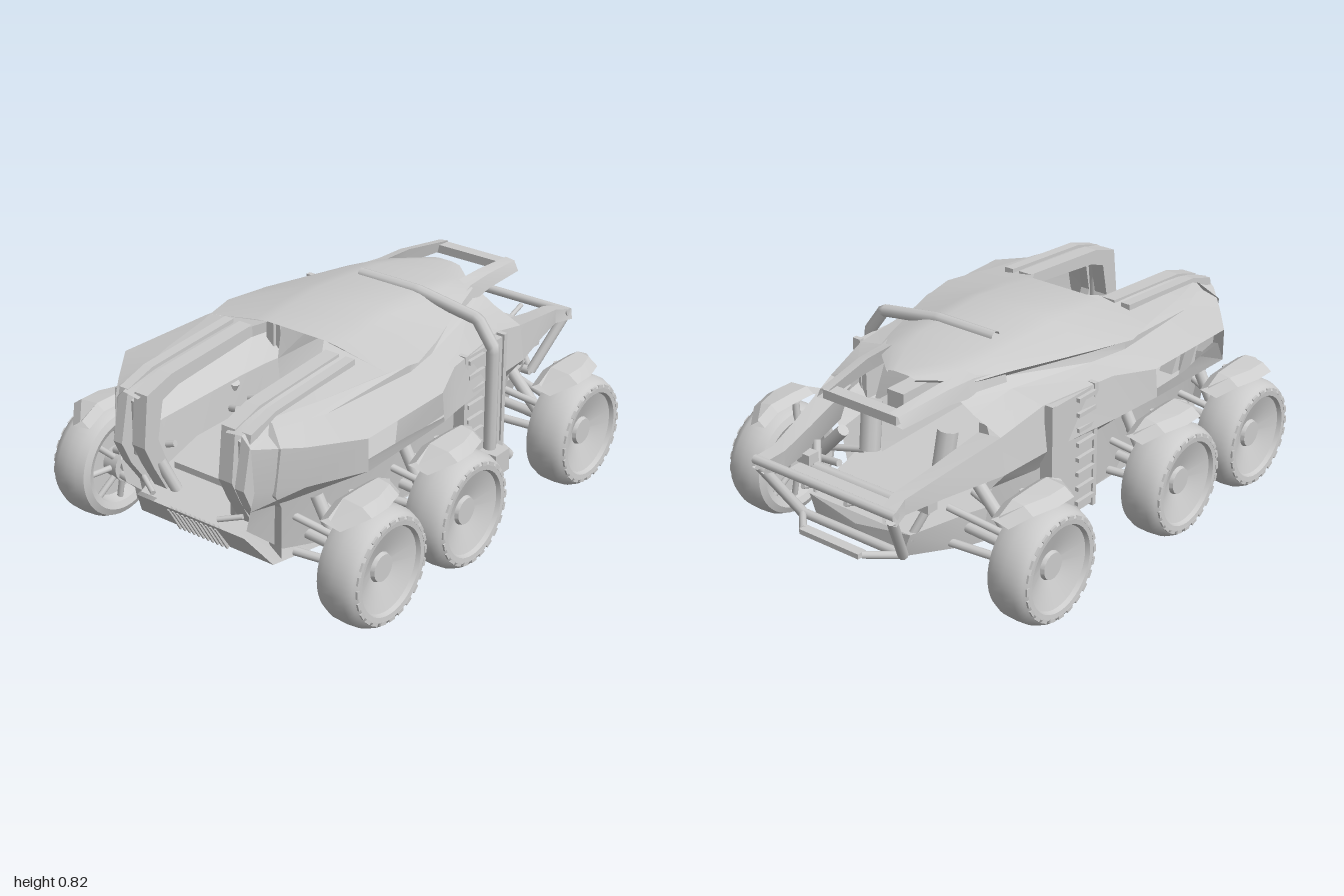
import * as THREE from 'three';
import { toCreasedNormals } from 'three/addons/utils/BufferGeometryUtils.js';

const grey = new THREE.MeshStandardMaterial({ color: 0xcccccc, side: THREE.DoubleSide });
const V = (p) => new THREE.Vector3(...p);

export function createModel() {
  const model = new THREE.Group();

  const add = (name, geo, parent = model) => {
    const mesh = new THREE.Mesh(geo, grey);
    mesh.name = name;
    parent.add(mesh);
    return mesh;
  };
  const box = (name, w, h, d, x, y, z, parent) => {
    const m = add(name, new THREE.BoxGeometry(w, h, d), parent);
    m.position.set(x, y, z);
    return m;
  };
  // Straight round bar between two points
  const bar = (name, a, b, r, parent) => {
    const A = V(a), B = V(b), d = B.clone().sub(A);
    const m = add(name, new THREE.CylinderGeometry(r, r, d.length(), 10), parent);
    m.position.copy(A).add(B).multiplyScalar(0.5);
    m.quaternion.setFromUnitVectors(new THREE.Vector3(0, 1, 0), d.normalize());
    return m;
  };
  // Surface through sections [z, [x, y], [x, y], ...]; skip(i, j) leaves a gap
  const loft = (name, sections, { side = 1, skip = () => false, closed = false } = {}) => {
    const pos = [];
    const pt = (s, j) => {
      const p = s[1 + (j % (s.length - 1))];
      return [p[0] * side, p[1], s[0]];
    };
    for (let i = 0; i < sections.length - 1; i++) {
      const a = sections[i], b = sections[i + 1];
      const n = a.length - (closed ? 1 : 2);
      for (let j = 0; j < n; j++) {
        if (skip(i, j)) continue;
        const q = [pt(a, j), pt(b, j), pt(b, j + 1), pt(a, j + 1)];
        const order = side > 0 ? [0, 1, 2, 0, 2, 3] : [0, 2, 1, 0, 3, 2];
        order.forEach((k) => pos.push(...q[k]));
      }
    }
    const g = new THREE.BufferGeometry();
    g.setAttribute('position', new THREE.Float32BufferAttribute(pos, 3));
    g.computeVertexNormals();
    return add(name, toCreasedNormals(g, 0.35));
  };
  // Flat outline in (z, y) given a thickness along x, centred on x
  const slab = (name, pts, thick, x) => {
    const shape = new THREE.Shape(pts.map(([z, y]) => new THREE.Vector2(-z, y)));
    const g = new THREE.ExtrudeGeometry(shape, { depth: thick, bevelEnabled: false });
    g.translate(0, 0, -thick / 2).rotateY(Math.PI / 2);
    add(name, g).position.setX(x);
  };

  // Underbody tub: z, half width top, half width bottom, top, bottom
  const tub = [
    [0.95, 0.23, 0.25, 0.31, 0.29], [0.87, 0.26, 0.31, 0.31, 0.17], [0.5, 0.37, 0.38, 0.3, 0.16],
    [-0.3, 0.38, 0.38, 0.3, 0.16], [-0.55, 0.3, 0.29, 0.3, 0.16], [-0.8, 0.24, 0.2, 0.3, 0.2], [-0.82, 0, 0, 0.27, 0.25],
  ].map(([z, t, b, y1, y0]) => [z, [-t, y1], [t, y1], [b, y0], [-b, y0]]);
  loft('underbody', tub, { closed: true });
  for (let i = -5; i <= 5; i++) {
    box('grilleRib', 0.008, 0.12, 0.02, i * 0.022, 0.225, 0.905).rotation.x = 0.52;
  }
  for (let i = 0; i < 6; i++) for (const s of [-1, 1]) {
    box('bellyRib', 0.2, 0.006, 0.015, s * 0.2, 0.159, 0.35 - i * 0.1).rotation.y = s * 0.6;
  }

  // Roof from the windscreen header back to the tail, its brim overhanging the sides
  const half = [
    [0.36, [0.38, 0.725], [0.41, 0.738], [0.19, 0.778], [0.13, 0.785]],
    [0.22, [0.41, 0.72], [0.445, 0.738], [0.2, 0.79], [0.14, 0.8]],
    [0.05, [0.37, 0.725], [0.4, 0.745], [0.2, 0.8], [0.14, 0.815]],
    [-0.3, [0.25, 0.725], [0.275, 0.75], [0.19, 0.785], [0.13, 0.792]],
    [-0.42, [0.2, 0.725], [0.23, 0.745], [0.16, 0.77], [0.1, 0.78]],
    [-0.56, [0.06, 0.745], [0.07, 0.753], [0.05, 0.757], [0.03, 0.76]],
  ];
  loft('roof', half.map(([z, ...p]) => [z, ...p.map(([x, y]) => [-x, y]), ...p.slice().reverse()]));

  // Body side: sill, flank, lower belt, upper belt, shelf, underside of the roof brim
  const sideSections = [
    [0.97, [0.28, 0.34], [0.3, 0.42], [0.32, 0.5], [0.31, 0.66], [0.29, 0.68], [0.27, 0.7]],
    [0.83, [0.32, 0.22], [0.35, 0.42], [0.43, 0.5], [0.43, 0.65], [0.32, 0.69], [0.3, 0.725]],
    [0.66, [0.35, 0.18], [0.39, 0.43], [0.56, 0.53], [0.56, 0.655], [0.38, 0.69], [0.35, 0.73]],
    [0.22, [0.38, 0.17], [0.4, 0.43], [0.56, 0.54], [0.55, 0.65], [0.41, 0.69], [0.41, 0.72]],
    [0.05, [0.39, 0.17], [0.41, 0.42], [0.5, 0.5], [0.48, 0.665], [0.38, 0.69], [0.37, 0.725]],
    [-0.3, [0.38, 0.17], [0.4, 0.4], [0.45, 0.49], [0.43, 0.665], [0.29, 0.69], [0.25, 0.725]],
    [-0.5, [0.32, 0.2], [0.36, 0.4], [0.42, 0.47], [0.4, 0.61], [0.28, 0.66], [0.21, 0.7]],
  ];

  for (const s of [1, -1]) {
    // Gap between the belt lines is the side window
    loft('bodySide', sideSections, { side: s, skip: (i, j) => i === 2 && j === 2 });
    loft('windscreenSurround', [
      [0.97, [0.27, 0.7], [0.2, 0.69]], [0.83, [0.3, 0.725], [0.18, 0.735]],
      [0.66, [0.35, 0.73], [0.17, 0.755]], [0.42, [0.395, 0.735], [0.17, 0.772]], [0.36, [0.41, 0.738], [0.13, 0.785]],
    ], { side: s });
    loft('nosePanel', [
      [0.86, [0.2, 0.3], [0.34, 0.2]], [0.88, [0.2, 0.4], [0.36, 0.42]], [0.92, [0.2, 0.5], [0.37, 0.48]],
      [0.9, [0.2, 0.66], [0.38, 0.655]], [0.86, [0.2, 0.72], [0.31, 0.715]],
    ], { side: s });
    loft('rearRail', [
      [-0.5, [0.36, 0.44], [0.42, 0.47], [0.4, 0.61], [0.3, 0.6]],
      [-0.75, [0.29, 0.43], [0.35, 0.46], [0.34, 0.545], [0.27, 0.54]],
      [-0.9, [0.26, 0.43], [0.31, 0.45], [0.31, 0.51], [0.25, 0.51]],
      [-0.98, [0.28, 0.44], [0.34, 0.45], [0.33, 0.49], [0.27, 0.49]],
    ], { side: s, closed: true });
    loft('cabinWall', [
      [0.12, [0.27, 0.3], [0.29, 0.5], [0.25, 0.77]], [-0.4, [0.25, 0.3], [0.28, 0.5], [0.2, 0.75]],
    ], { side: s });
    // Arm of the tail loop over the rear deck
    loft('tailArm', [
      [-0.3, [0.15, 0.76], [0.26, 0.75], [0.27, 0.7], [0.17, 0.71]],
      [-0.42, [0.17, 0.768], [0.22, 0.755], [0.235, 0.69], [0.19, 0.7]],
      [-0.55, [0.165, 0.765], [0.21, 0.755], [0.22, 0.7], [0.18, 0.7]],
      [-0.78, [0.14, 0.735], [0.18, 0.73], [0.2, 0.69], [0.15, 0.695]],
    ], { side: s, closed: true });

    // Twin front pillars with a groove between
    const pillar = (k) => [
      [0.4, 0.775], [0.83, 0.743], [0.955, 0.705], [1 - k, 0.51], [0.96 - k, 0.42], [0.87, 0.29],
      [0.81, 0.3], [0.88, 0.44], [0.91, 0.52], [0.88, 0.66], [0.8, 0.69], [0.4, 0.73],
    ];
    slab('innerPillar', pillar(0.02), 0.06, s * 0.2);
    slab('outerPillar', pillar(0), 0.04, s * 0.28);
    bar('pillarGroove', [s * 0.245, 0.66, 0.93], [s * 0.245, 0.45, 0.93], 0.02);
    bar('pillarFoot', [s * 0.18, 0.43, 0.9], [s * 0.14, 0.31, 0.86], 0.022);
    bar('frontHook', [s * 0.23, 0.36, 0.93], [s * 0.15, 0.34, 0.97], 0.01);

    // Equipment panel behind the cabin
    box('sidePanel', 0.05, 0.48, 0.25, s * 0.44, 0.42, -0.17);
    for (let i = 0; i < 8; i++) box('panelRung', 0.02, 0.016, 0.1, s * 0.47, 0.22 + i * 0.06, -0.1);
    for (const z of [-0.04, -0.29]) box('panelEdge', 0.035, 0.5, 0.02, s * 0.455, 0.42, z);

    // Rear cage and cabin fittings
    bar('rearStrut', [s * 0.31, 0.46, -0.97], [s * 0.24, 0.24, -0.84], 0.02);
    bar('rearBrace', [s * 0.29, 0.46, -0.7], [s * 0.22, 0.27, -0.78], 0.016);
    bar('rearLink', [s * 0.24, 0.24, -0.84], [s * 0.14, 0.25, -0.94], 0.014);
    bar('canister', [s * 0.17, 0.4, -0.55], [s * 0.18, 0.58, -0.52], 0.04);
    box('sideSeat', 0.08, 0.14, 0.2, s * 0.22, 0.47, -0.25);
    box('rearLamp', 0.06, 0.04, 0.05, s * 0.28, 0.42, -0.76);
    bar('rearHook', [s * 0.1, 0.45, -0.97], [s * 0.1, 0.42, -0.88], 0.01);
  }
  box('tailCrossbar', 0.34, 0.035, 0.05, 0, 0.712, -0.755);
  box('dashboard', 0.36, 0.025, 0.05, 0, 0.38, 0.8);
  bar('rearTopBar', [-0.33, 0.48, -0.97], [0.33, 0.48, -0.97], 0.018);
  bar('rearLowBar', [-0.24, 0.24, -0.84], [0.24, 0.24, -0.84], 0.018);
  box('rearStep', 0.28, 0.02, 0.04, 0, 0.25, -0.94);
  box('engineBlock', 0.22, 0.08, 0.16, 0, 0.33, -0.66);
  bar('engineCrossTube', [-0.22, 0.4, -0.78], [0.22, 0.4, -0.78], 0.025);
  box('rearDeckBeam', 0.5, 0.03, 0.06, 0, 0.42, -0.86);

  // Folded boom across the roof and down one side
  const boom = new THREE.CurvePath();
  const bends = [[-0.12, 0.795, -0.18], [0.15, 0.795, -0.18], [0.42, 0.755, -0.18], [0.49, 0.66, -0.18], [0.49, 0.22, -0.18]].map(V);
  for (let i = 0; i < 4; i++) boom.add(new THREE.LineCurve3(bends[i], bends[i + 1]));
  add('boom', new THREE.TubeGeometry(boom, 60, 0.025, 8));
  box('boomHead', 0.08, 0.09, 0.09, 0.51, 0.2, -0.18);
  bar('boomTool', [0.5, 0.24, -0.22], [0.51, 0.18, -0.28], 0.022);

  // Wheels with fenders and suspension
  const profile = [
    [0.05, -0.03], [0.14, -0.03], [0.155, -0.075], [0.18, -0.086], [0.205, -0.075], [0.218, -0.045], [0.221, 0],
    [0.218, 0.045], [0.205, 0.075], [0.185, 0.088], [0.165, 0.086], [0.158, 0.07], [0.055, 0.035], [0.05, 0.05], [0, 0.05],
  ].map((p) => new THREE.Vector2(...p));
  const wheelGeo = toCreasedNormals(new THREE.LatheGeometry(profile, 48), 0.6);
  for (const z of [0.72, 0.23, -0.55]) for (const s of [1, -1]) {
    const wheel = new THREE.Group();
    wheel.name = 'wheel';
    wheel.position.set(s * 0.622, 0.221, z);
    wheel.rotation.z = -s * Math.PI / 2;
    model.add(wheel);
    add('tyreAndRim', wheelGeo, wheel);
    add('hub', new THREE.CylinderGeometry(0.05, 0.065, 0.14, 16), wheel).position.y = -0.03;
    for (let i = 0; i < 24; i++) {
      const a = (i / 24) * Math.PI * 2;
      const lug = box('treadLug', 0.014, 0.008, 0.03, Math.cos(a) * 0.188, 0.085, Math.sin(a) * 0.188, wheel);
      lug.rotation.y = -a;
    }
    for (let i = 0; i < 8; i++) {
      const a = (i / 8) * Math.PI * 2;
      bar('innerSpoke', [Math.cos(a) * 0.05, -0.07, Math.sin(a) * 0.05],
        [Math.cos(a) * 0.15, -0.05, Math.sin(a) * 0.15], 0.012, wheel);
    }

    const rise = [[-0.17, -0.04, 0.61], [-0.1, -0.005, 0.66], [0, 0, 0.69], [0.09, 0, 0.69], [0.17, -0.04, 0.62]];
    loft('fender', rise.map(([dz, dy, x]) => [z + dz,
      [0.535, 0.475 + dy], [0.57, 0.498 + dy], [x - 0.04, 0.49 + dy], [x, 0.462 + dy],
      [0.57, 0.47 + dy]]), { side: s, closed: true });
    bar('fenderStay', [s * 0.54, 0.475, z], [s * 0.53, 0.24, z], 0.014);

    const inner = z < 0 ? 0.26 : 0.34;
    for (const dz of [-0.07, 0.07]) {
      bar('lowerArm', [s * inner, 0.2, z + dz], [s * 0.57, 0.19, z + dz * 0.3], 0.016);
      bar('upperArm', [s * inner, 0.34, z + dz], [s * 0.56, 0.28, z + dz * 0.3], 0.014);
    }
    bar('driveShaft', [s * inner, 0.24, z], [s * 0.6, 0.221, z], 0.02);
    bar('shock', [s * (inner + 0.06), 0.42, z + 0.02], [s * 0.51, 0.22, z + 0.02], 0.024);
  }
  return model;
}
